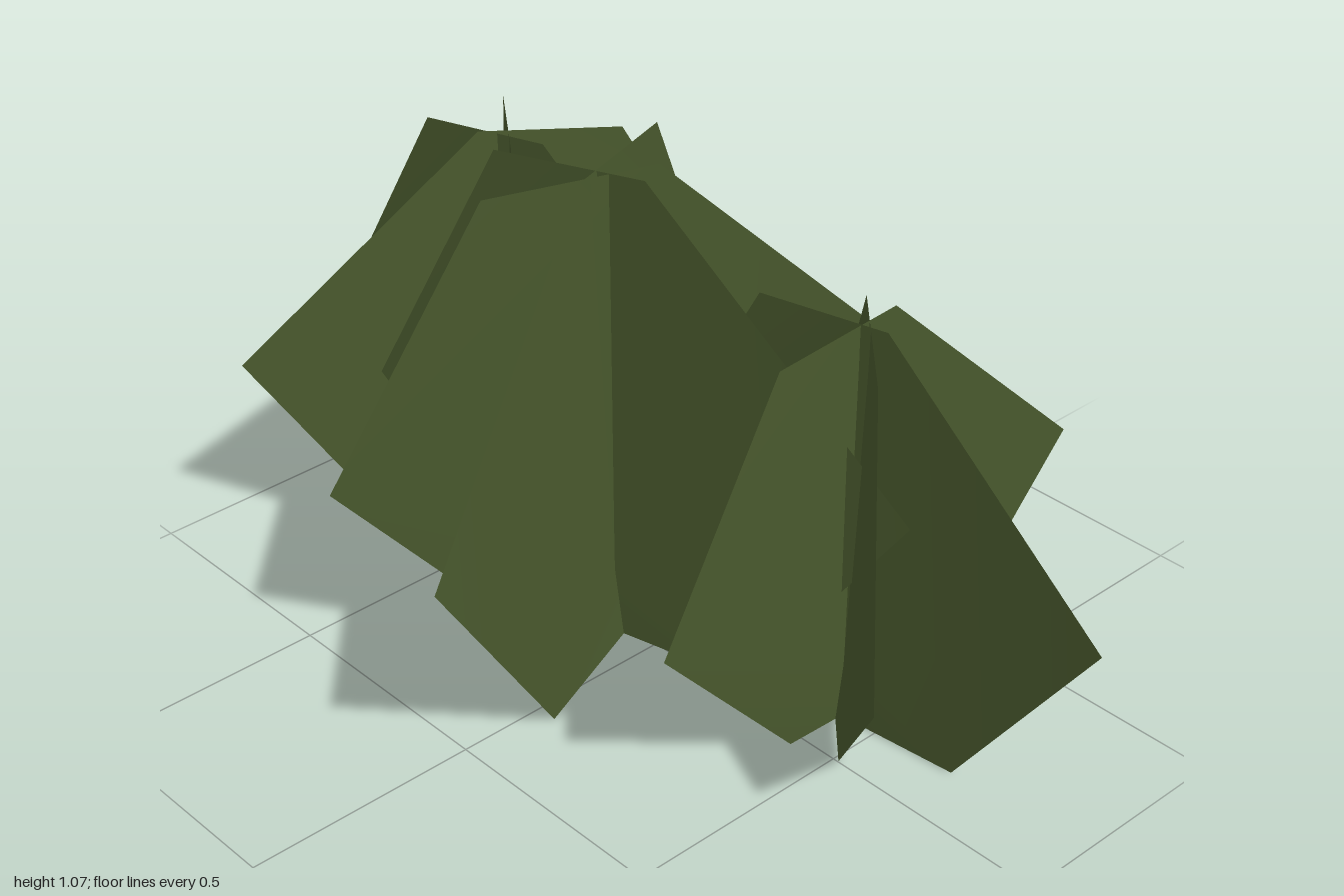
import * as THREE from 'three';

export function createModel() {
  const model = new THREE.Group();
  model.name = 'bush';
  const leafGreen = new THREE.MeshStandardMaterial({ color: 0x4a5a2e, side: THREE.DoubleSide });
  leafGreen.name = 'leafGreen';

  // Lopsided six-sided blade outline: [distance along blade, height]
  const outline = (tipR, tipL) => [
    [0.255, 0], [tipR, 0.447], [0.075, 0.912], [-0.213, 0.889], [tipL, 0.387], [-0.125, 0],
  ];
  // Three crossing blades per clump: turn in degrees and tip reach
  const blades = [
    { turn: 0, tipR: 0.573, tipL: -0.48 },
    { turn: 48.7, tipR: 0.57, tipL: -0.476 },
    { turn: 130.6, tipR: 0.569, tipL: -0.487 },
  ];

  // Blade leaning slightly about its middle height, with tips bent to one side
  function bladeGeometry({ tipR, tipL }) {
    const shape = new THREE.Shape(outline(tipR, tipL).map(([s, y]) => new THREE.Vector2(s, y)));
    const geo = new THREE.ShapeGeometry(shape);
    const pos = geo.attributes.position;
    for (let i = 0; i < pos.count; i++) {
      pos.setZ(i, (pos.getY(i) - 0.42) * 0.033 + 0.07 * pos.getX(i) ** 2);
    }
    geo.computeVertexNormals();
    return geo;
  }

  // The same clump at three places, sizes and turns
  const clumps = [
    { name: 'rightClump', x: -0.516, z: -0.101, scale: 1.024, turn: -11.4 },
    { name: 'middleClump', x: -0.079, z: 0.041, scale: 1.172, turn: -63 },
    { name: 'leftClump', x: 0.429, z: -0.096, scale: 1, turn: 222.8 },
  ];
  for (const c of clumps) {
    const clump = new THREE.Group();
    clump.name = c.name;
    blades.forEach((b, i) => {
      const blade = new THREE.Mesh(bladeGeometry(b), leafGreen);
      blade.name = `leafBlade${i + 1}`;
      blade.rotation.y = -THREE.MathUtils.degToRad(b.turn);
      clump.add(blade);
    });
    clump.position.set(c.x, 0, c.z);
    clump.rotation.y = -THREE.MathUtils.degToRad(c.turn);
    clump.scale.setScalar(c.scale);
    model.add(clump);
  }
  return model;
}
